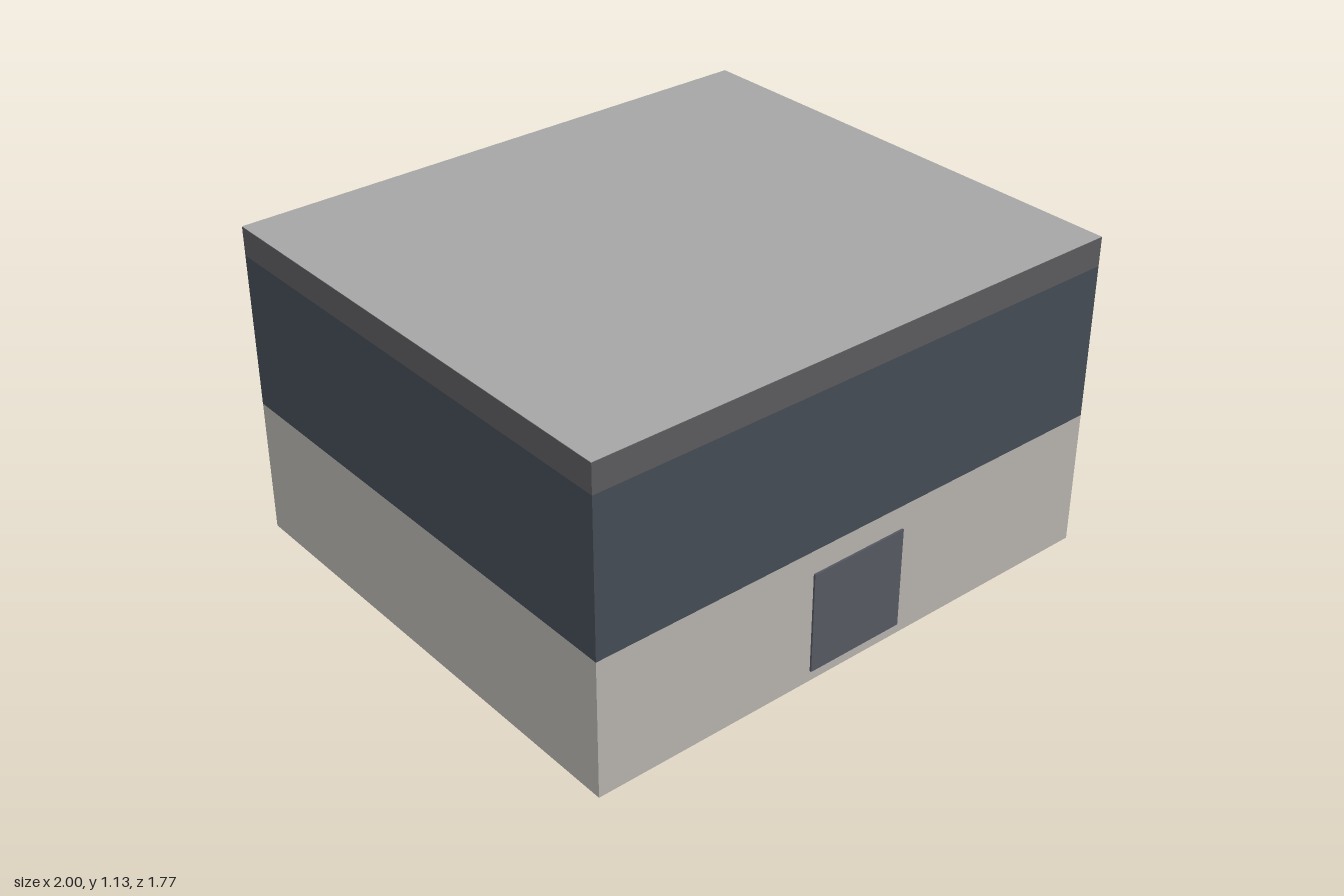
import * as THREE from 'three';

const WIDTH = 2, BACK = -0.887, FRONT = 0.88;
const DEPTH = FRONT - BACK, MID_Z = (FRONT + BACK) / 2;

const paint = (color) => new THREE.MeshStandardMaterial({ color });

// Box given by its width, vertical span and depth span
function block(name, width, y0, y1, z0, z1, color) {
  const mesh = new THREE.Mesh(new THREE.BoxGeometry(width, y1 - y0, z1 - z0), paint(color));
  mesh.position.set(0, (y0 + y1) / 2, (z0 + z1) / 2);
  mesh.name = name;
  return mesh;
}

export function createModel() {
  const building = new THREE.Group();
  building.name = 'building';

  // Stacked storeys: pale ground floor, dark glazed band, parapet
  building.add(
    block('groundFloor', WIDTH, 0, 0.484, BACK, FRONT, 0xb5b2ad),
    block('windowBand', WIDTH, 0.484, 1.028, BACK, FRONT, 0x434b54),
    block('parapet', WIDTH, 1.028, 1.128, BACK, FRONT, 0x5b5b5e)
  );

  // Light roof surface, just above the parapet block
  const roof = new THREE.Mesh(new THREE.PlaneGeometry(WIDTH, DEPTH), paint(0xa5a5a5));
  roof.rotation.x = -Math.PI / 2;
  roof.position.set(0, 1.13, MID_Z);
  roof.name = 'roof';
  building.add(roof);

  // Thin door panel standing proud of the front wall
  building.add(block('door', 0.37, 0.038, 0.4, FRONT - 0.005, 0.887, 0x555861));

  return building;
}
